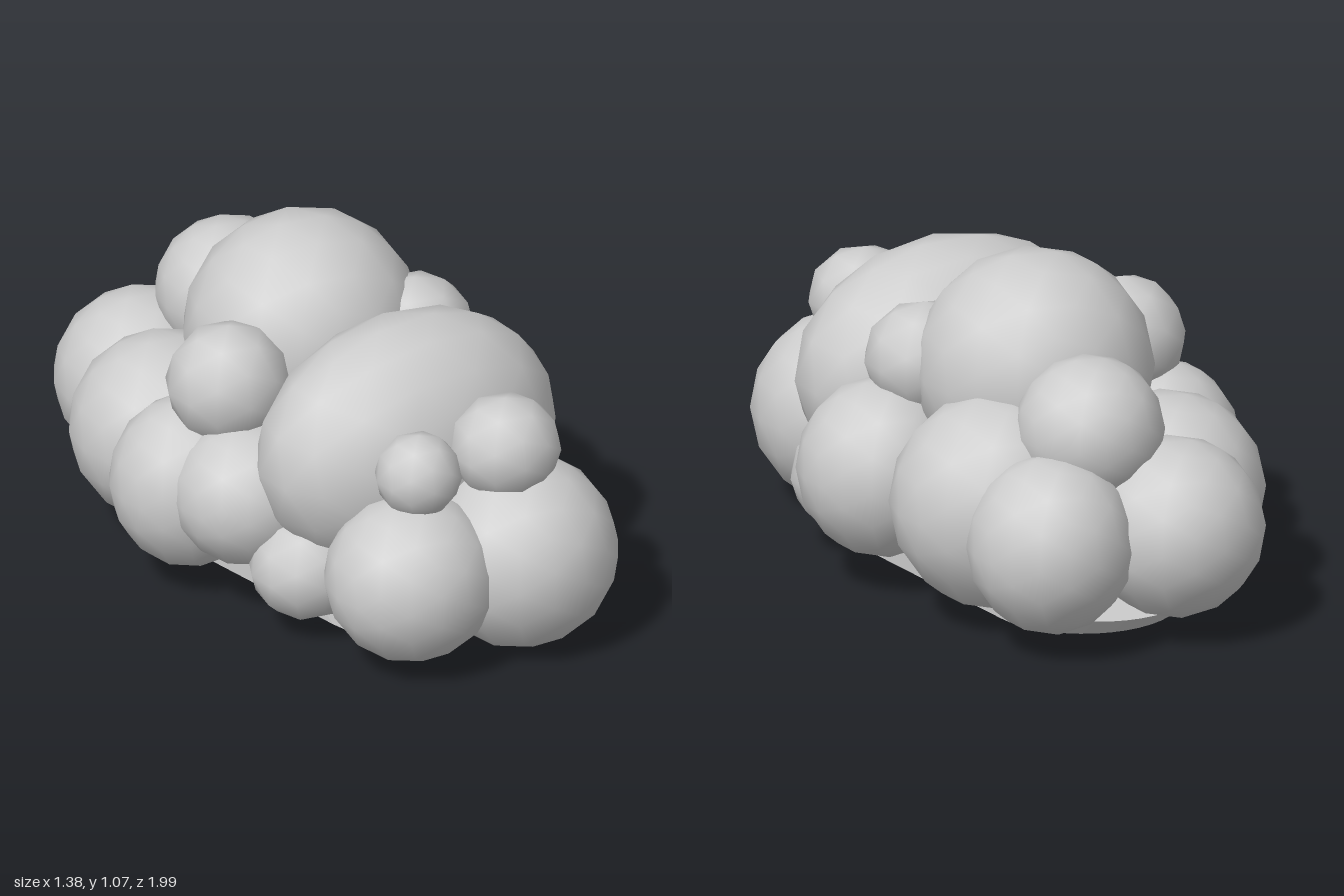
import * as THREE from 'three';

// name, centre x y z, radii x y z, detail, optional turn about y
const PUFFS = [
  ['frontLeftPuff', 0.35, 0.30, 0.70, 0.305, 0.305, 0.30, 2],
  ['frontRightPuff', -0.02, 0.30, 0.74, 0.27, 0.265, 0.26, 2],
  ['frontSmallRightPuff', 0.01, 0.635, 0.72, 0.135, 0.135, 0.135, 1],
  ['frontSmallLeftPuff', 0.31, 0.655, 0.68, 0.175, 0.165, 0.17, 1],
  ['largeFrontCrown', 0.12, 0.555, 0.34, 0.515, 0.40, 0.33, 2, 0.25],
  ['topCrown', -0.015, 0.71, -0.17, 0.37, 0.37, 0.35, 2],
  ['upperRightPuff', -0.35, 0.695, 0.06, 0.195, 0.195, 0.19, 1],
  ['upperLeftPuff', 0.29, 0.71, -0.02, 0.19, 0.18, 0.185, 1],
  ['leftMiddlePuff', 0.43, 0.38, -0.05, 0.265, 0.28, 0.265, 2],
  ['leftLowPuff', 0.465, 0.24, 0.27, 0.175, 0.17, 0.175, 1],
  ['leftBackPuff', 0.16, 0.385, -0.43, 0.335, 0.34, 0.32, 2],
  ['backLeftPuff', 0.07, 0.345, -0.74, 0.26, 0.28, 0.265, 2],
  ['backTopPuff', -0.09, 0.645, -0.58, 0.23, 0.23, 0.23, 2],
  ['backRightPuff', -0.33, 0.345, -0.68, 0.28, 0.28, 0.28, 2],
  ['rightBackPuff', -0.39, 0.35, -0.35, 0.30, 0.30, 0.295, 2],
  ['rightMiddlePuff', -0.45, 0.35, 0.0, 0.25, 0.275, 0.245, 2],
  ['rightFrontPuff', -0.34, 0.39, 0.20, 0.24, 0.23, 0.235, 2],
  ['rightLowPuff', -0.24, 0.225, 0.43, 0.18, 0.165, 0.175, 1],
];

export function createModel() {
  const model = new THREE.Group();
  model.name = 'cloud';
  const grey = new THREE.MeshStandardMaterial({ color: 0xcccccc });
  grey.name = 'cloud grey';

  // Overlapping rounded puffs
  for (const [name, x, y, z, rx, ry, rz, detail, turn = 0] of PUFFS) {
    const puff = new THREE.Mesh(new THREE.IcosahedronGeometry(1, detail), grey);
    puff.name = name;
    puff.position.set(x, y, z);
    puff.scale.set(rx, ry, rz);
    puff.rotation.y = turn;
    model.add(puff);
  }

  // Flat base: a slab with round ends, turned slightly under the puffs
  const half = 0.36, r = 0.3;
  const outline = new THREE.Shape();
  outline.absarc(0, half, r, 0, Math.PI, false);
  outline.absarc(0, -half, r, Math.PI, Math.PI * 2, false);
  outline.closePath();
  const slab = new THREE.ExtrudeGeometry(outline, { depth: 0.065, bevelEnabled: false, curveSegments: 10 });
  slab.rotateX(-Math.PI / 2);
  // Lean the rim backwards from bottom to top
  const pos = slab.attributes.position;
  for (let i = 0; i < pos.count; i++) pos.setZ(i, pos.getZ(i) - 1.3 * pos.getY(i));
  slab.computeVertexNormals();
  const base = new THREE.Mesh(slab, grey);
  base.name = 'base';
  base.rotation.y = 0.36;
  base.position.set(0, 0.005, -0.01);
  model.add(base);

  return model;
}
